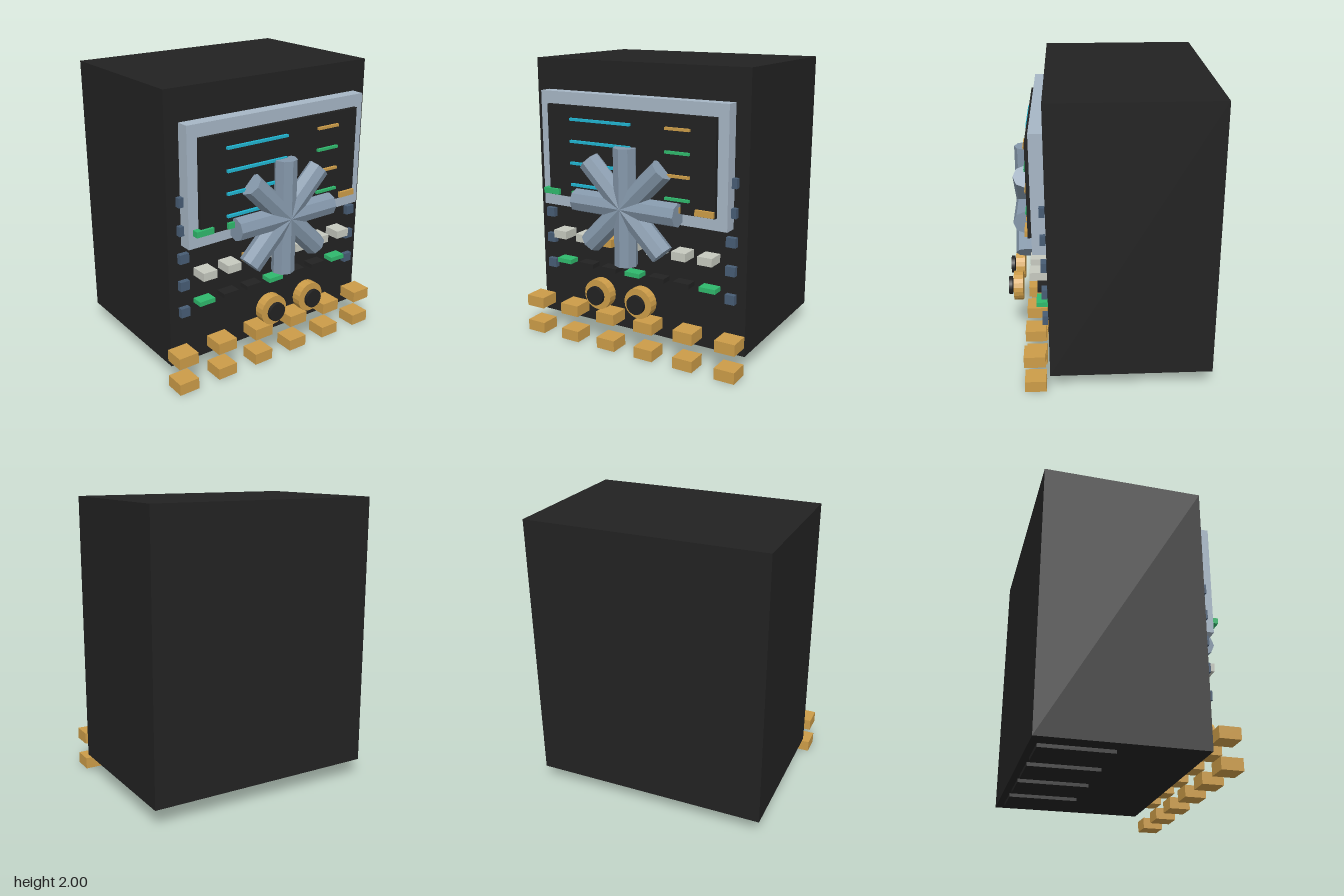
import * as THREE from 'three';

const mat = (name, color, extra = {}) => {
  const m = new THREE.MeshStandardMaterial({ color, ...extra });
  m.name = name;
  return m;
};

export function createModel() {
  const black = mat('black', 0x222222);
  const silver = mat('silver', 0xa6b6c5);
  const steel = mat('steel', 0x8497aa, { flatShading: true });
  const slate = mat('slate', 0x475c74);
  const brass = mat('brass', 0xcc9c48, { flatShading: true });
  const green = mat('green', 0x2fb86c);
  const cyan = mat('cyan', 0x20b4d0);
  const ivory = mat('ivory', 0xc6c9bf);

  const model = new THREE.Group();
  model.name = 'controlConsole';
  const CX = 0.013; // centre line of the cabinet

  // box given by its centre x, y, size w, h and depth range z0..z1
  const box = (name, m, x, y, w, h, z0, z1) => {
    const mesh = new THREE.Mesh(new THREE.BoxGeometry(w, h, z1 - z0), m);
    mesh.position.set(x, y, (z0 + z1) / 2);
    mesh.name = name;
    model.add(mesh);
  };
  // disc or rod, lying along z
  const disc = (name, m, x, y, r, z0, z1, sides) => {
    const geo = new THREE.CylinderGeometry(r, r, z1 - z0, sides).rotateX(Math.PI / 2);
    const mesh = new THREE.Mesh(geo, m);
    mesh.position.set(x, y, (z0 + z1) / 2);
    mesh.name = name;
    model.add(mesh);
  };

  // cabinet, display frame and display
  box('cabinet', black, CX, 1.06, 1.646, 1.88, -0.693, 0.4);
  box('displayFrame', silver, CX, 1.383, 1.447, 0.806, 0.4, 0.492);
  box('display', black, CX, 1.382, 1.3, 0.638, 0.492, 0.52);

  // lines on the display
  for (let i = 0; i < 4; i++) {
    const y = 1.609 - i * 0.151;
    box('longDisplayLine', cyan, -0.2, y, 0.482, 0.018, 0.52, 0.54);
    box('shortDisplayLine', i % 2 ? green : brass, 0.395, y, 0.178, 0.018, 0.52, 0.54);
  }

  // indicator lamps along the lower edge of the display
  for (let i = 0; i < 6; i++) {
    box('indicatorLamp', i < 3 ? green : brass, -0.613 + i * 0.2413, 1.09, 0.132, 0.04, 0.49, 0.54);
  }

  // star of crossed eight-sided rods
  const star = new THREE.Group();
  star.name = 'rodStar';
  star.position.set(CX, 1.059, 0.546);
  for (let i = 0; i < 4; i++) {
    const rod = new THREE.Mesh(new THREE.CylinderGeometry(0.08, 0.08, 0.804, 8), steel);
    rod.rotation.z = (i * Math.PI) / 4;
    rod.name = 'rod';
    star.add(rod);
  }
  model.add(star);

  // studs down both sides
  for (const side of [-1, 1]) {
    for (let i = 0; i < 5; i++) {
      box('sideStud', slate, CX + side * 0.724, 0.513 + i * 0.1932, 0.068, 0.065, 0.405, 0.441);
    }
  }

  // row of buttons and row of status lights
  for (let i = 0; i < 7; i++) {
    const x = CX + (i - 3) * 0.1932;
    box('button', i === 2 ? brass : ivory, x, 0.771, 0.107, 0.057, 0.4, 0.52);
    box('statusLight', i % 3 === 0 ? green : black, x, 0.562, 0.12, 0.032, 0.4, 0.482);
  }

  // two dials with floating caps
  for (const side of [-1, 1]) {
    const x = CX + side * 0.162;
    disc('dial', brass, x, 0.447, 0.105, 0.593, 0.66, 20);
    disc('dialCap', black, x, 0.447, 0.065, 0.672, 0.697, 20);
  }

  // two rows of floating blocks at the foot
  for (const y of [0.04, 0.235]) {
    for (let i = 0; i < 6; i++) {
      box('footBlock', brass, -0.777 + i * 0.3095, y, 0.146, 0.08, 0.426, 0.571);
    }
  }

  // pads under the cabinet
  for (let i = 0; i < 4; i++) {
    box('basePad', black, -0.551 + i * 0.3695, 0.109, 0.275, 0.026, -0.645, -0.164);
  }

  return model;
}
